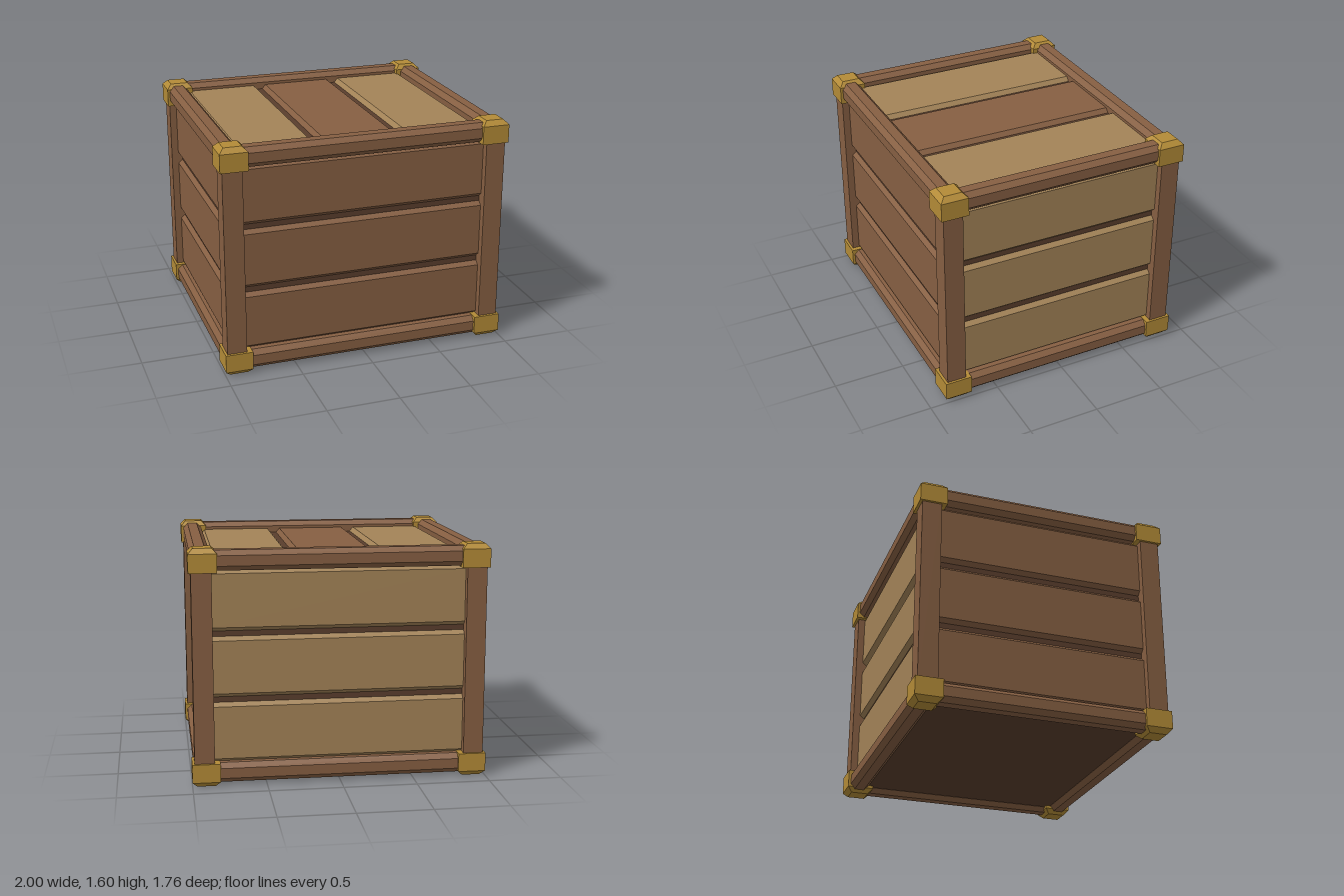
import * as THREE from 'three';

const mat = (name, color) => {
  const m = new THREE.MeshStandardMaterial({ color });
  m.name = name;
  return m;
};

// Frame centre lines and section sizes
const PX = 0.916, PZ = 0.796, LOW = 0.088, HIGH = 1.52, BAR = 0.135, CHAMFER = 0.033;

// Beam with a chamfered square section, running along z
function beamGeometry(length) {
  const a = BAR / 2, b = a - CHAMFER;
  const pts = [[a, -b], [a, b], [b, a], [-b, a], [-a, b], [-a, -b], [-b, -a], [b, -a]];
  const shape = new THREE.Shape(pts.map(p => new THREE.Vector2(...p)));
  return new THREE.ExtrudeGeometry(shape, { depth: length, bevelEnabled: false }).translate(0, 0, -length / 2);
}

// Board lying in xy, its two long edges bevelled towards the outer (+z) face
function boardGeometry(length, width) {
  const geo = new THREE.BoxGeometry(length, width, 0.03);
  const p = geo.attributes.position;
  for (let i = 0; i < p.count; i++) {
    if (p.getZ(i) > 0) p.setY(i, p.getY(i) - Math.sign(p.getY(i)) * 0.026);
  }
  geo.computeVertexNormals();
  return geo;
}

// Corner block whose outer end (+y) narrows to a smaller square
function cornerGeometry() {
  const geo = new THREE.BoxGeometry(0.188, 0.16, 0.188, 1, 2, 1).toNonIndexed();
  const p = geo.attributes.position;
  for (let i = 0; i < p.count; i++) {
    const y = p.getY(i);
    if (Math.abs(y) < 0.01) p.setY(i, 0.046);
    else if (y > 0) {
      p.setX(i, Math.sign(p.getX(i)) * 0.061);
      p.setZ(i, Math.sign(p.getZ(i)) * 0.061);
    }
  }
  geo.computeVertexNormals();
  return geo;
}

export function createModel() {
  const root = new THREE.Group();
  root.name = 'woodenCrate';
  const brown = mat('brownWood', 0x865f42);
  const tan = mat('tanWood', 0xa38357);
  const dark = mat('darkWood', 0x5a3e2d);
  const gold = mat('goldMetal', 0xb38b37);

  const add = (name, geo, material, x, y, z, parent = root) => {
    const mesh = new THREE.Mesh(geo, material);
    mesh.name = name;
    mesh.position.set(x, y, z);
    parent.add(mesh);
    return mesh;
  };

  // Dark inner box seen in the grooves and from below
  add('innerBox', new THREE.BoxGeometry(1.81, 1.45, 1.566), dark, 0, 0.78, 0);

  // Three horizontal boards on each side
  const sides = [
    ['front', 0, 1.72, 0.798, brown], ['left', 1, 1.48, 0.92, tan],
    ['back', 2, 1.72, 0.798, tan], ['right', 3, 1.48, 0.92, brown],
  ];
  for (const [name, turn, length, distance, material] of sides) {
    const panel = new THREE.Group();
    panel.name = name + 'Panel';
    panel.rotation.y = turn * Math.PI / 2;
    root.add(panel);
    for (const y of [0.355, 0.803, 1.25]) {
      add(name + 'Board', boardGeometry(length, 0.41), material, 0, y, distance, panel);
    }
  }

  // Lid boards running front to back
  for (const [x, width, material] of [[-0.58, 0.54, tan], [0, 0.536, brown], [0.58, 0.54, tan]]) {
    const geo = boardGeometry(1.48, width).rotateZ(Math.PI / 2).rotateX(-Math.PI / 2);
    add('lidBoard', geo, material, x, 1.52, 0);
  }

  // Top and bottom frame beams
  for (const y of [LOW, HIGH]) {
    for (const s of [-1, 1]) {
      add('sideBeam', beamGeometry(2 * PZ), brown, s * PX, y, 0);
      add('crossBeam', beamGeometry(2 * PX).rotateY(Math.PI / 2), brown, 0, y, s * PZ);
    }
  }

  // Corner posts with metal caps at both ends
  for (const sx of [-1, 1]) {
    for (const sz of [-1, 1]) {
      const x = sx * PX, z = sz * PZ;
      add('cornerPost', new THREE.BoxGeometry(BAR, HIGH - LOW, BAR), brown, x, (HIGH + LOW) / 2, z);
      const cx = sx * 0.906, cz = sz * 0.788;
      add('topCorner', cornerGeometry(), gold, cx, 1.523, cz);
      add('bottomCorner', cornerGeometry().rotateX(Math.PI), gold, cx, 0.08, cz);
    }
  }
  return root;
}
